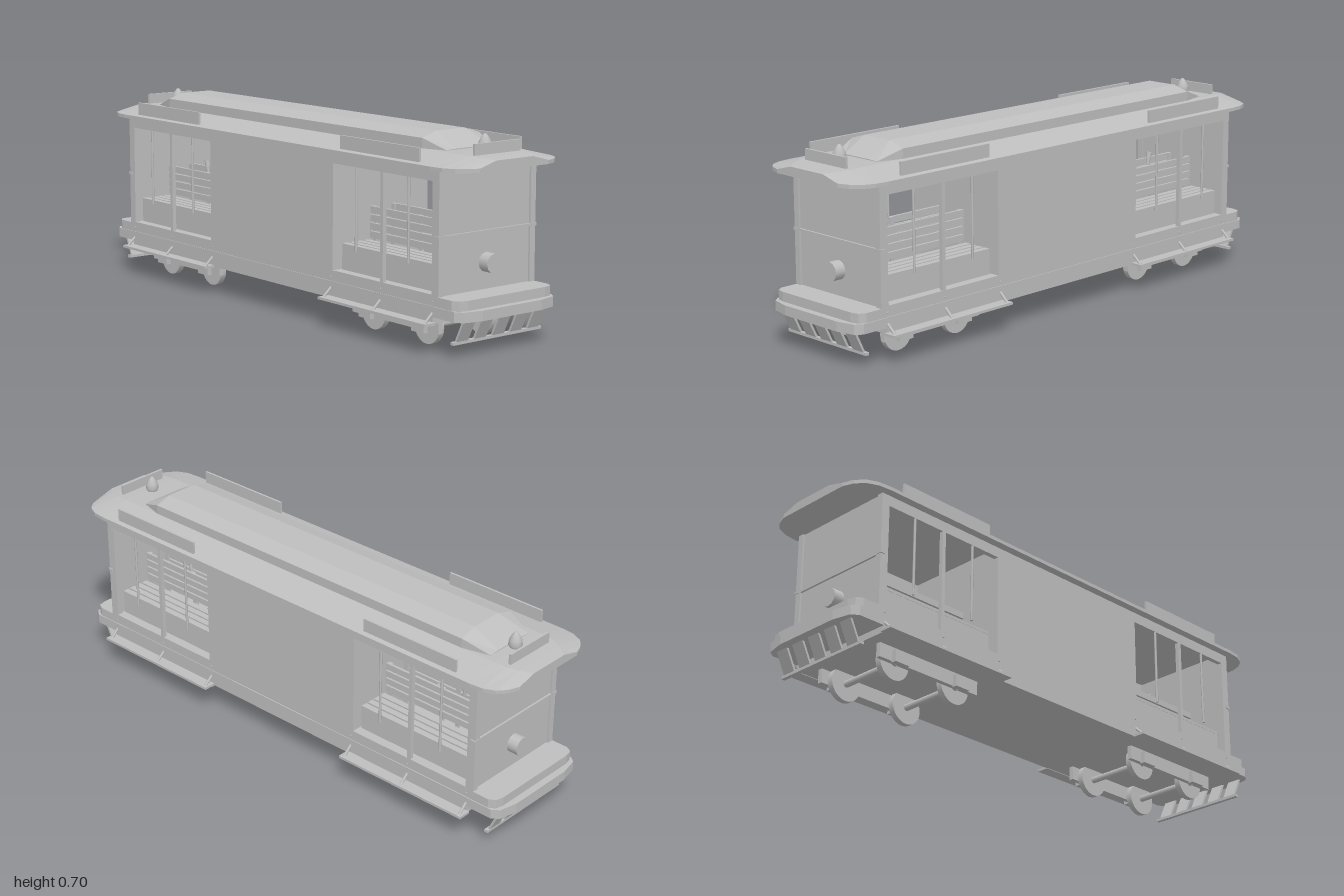
import * as THREE from 'three';

const paint = new THREE.MeshStandardMaterial({ color: 0xbebebe, side: THREE.DoubleSide });
paint.name = 'plain grey';

function add(parent, name, geometry, x = 0, y = 0, z = 0) {
  const mesh = new THREE.Mesh(geometry, paint);
  mesh.name = name;
  mesh.position.set(x, y, z);
  parent.add(mesh);
  return mesh;
}

// Box given by its limits on each axis
function box(parent, name, x0, x1, y0, y1, z0, z1) {
  return add(parent, name, new THREE.BoxGeometry(Math.abs(x1 - x0), y1 - y0, z1 - z0),
    (x0 + x1) / 2, (y0 + y1) / 2, (z0 + z1) / 2);
}

// Round bar between two points
function rod(parent, name, a, b, r) {
  const p = new THREE.Vector3(...a), q = new THREE.Vector3(...b), d = q.clone().sub(p);
  const mesh = add(parent, name, new THREE.CylinderGeometry(r, r, d.length(), 8));
  mesh.position.copy(p).add(q).multiplyScalar(0.5);
  mesh.quaternion.setFromUnitVectors(new THREE.Vector3(0, 1, 0), d.normalize());
  return mesh;
}

// Closed loft through mirrored sections [z, [[halfWidth, y], ...bottom to top]]
function loft(sections) {
  const rings = sections.map(([z, half]) => [
    ...half.map(([x, y]) => [x, y, z]),
    ...half.slice().reverse().map(([x, y]) => [-x, y, z]),
  ]);
  const pos = [];
  const n = rings[0].length;
  for (let s = 0; s < rings.length - 1; s++) {
    const a = rings[s], b = rings[s + 1];
    for (let i = 0; i < n; i++) {
      const j = (i + 1) % n;
      pos.push(...a[i], ...a[j], ...b[i], ...a[j], ...b[j], ...b[i]);
    }
  }
  const first = rings[0], last = rings[rings.length - 1];
  for (let i = 1; i < n - 1; i++) {
    pos.push(...last[0], ...last[i], ...last[i + 1], ...first[0], ...first[i + 1], ...first[i]);
  }
  const g = new THREE.BufferGeometry();
  g.setAttribute('position', new THREE.Float32BufferAttribute(pos, 3));
  g.computeVertexNormals();
  return g;
}

// Repeats a list of sections at both ends, from -z to +z
const bothEnds = (list) => [...list.map(([z, p]) => [-z, p]), ...list.slice().reverse()];

function buildRoof(car) {
  const eave = (w, topW, topY) => [[w, 0.598], [w, 0.611], [topW, topY]];
  add(car, 'mainRoof', loft(bothEnds([
    [1.0, eave(0.15, 0.08, 0.630)],
    [0.985, eave(0.19, 0.09, 0.632)],
    [0.96, eave(0.22, 0.105, 0.635)],
    [0.92, eave(0.238, 0.12, 0.638)],
    [0.87, eave(0.243, 0.125, 0.640)],
  ])));
  const nose = [[0.1, 0.635], [0.1, 0.641], [0.06, 0.643]];
  const full = [[0.125, 0.635], [0.125, 0.674], [0.062, 0.693]];
  add(car, 'raisedRoof', loft([[-0.84, nose], [-0.74, full], [0.70, full], [0.79, nose]]));
}

// Truck with two axles
function buildTruck(end) {
  const truck = new THREE.Group();
  truck.name = 'truck';
  end.add(truck);
  for (const z of [0.735, 0.467]) {
    rod(truck, 'axle', [-0.14, 0.06, z], [0.14, 0.06, z], 0.012);
    for (const s of [-1, 1]) {
      const wheel = add(truck, 'wheel', new THREE.CylinderGeometry(0.061, 0.061, 0.022, 24), s * 0.118, 0.061, z);
      wheel.rotation.z = Math.PI / 2;
      box(truck, 'axleBox', s * 0.15, s * 0.17, 0.045, 0.088, z - 0.03, z + 0.03);
    }
  }
  for (const s of [-1, 1]) box(truck, 'truckSide', s * 0.135, s * 0.152, 0.05, 0.1, 0.385, 0.818);
}

// Slatted benches, back to back, facing outward
function buildBenches(end) {
  for (const s of [-1, 1]) {
    box(end, 'benchFront', s * 0.165, s * 0.178, 0.195, 0.275, 0.36, 0.85);
    for (let i = 0; i < 4; i++) {
      const x = 0.062 + i * 0.031;
      box(end, 'seatSlat', s * x, s * (x + 0.024), 0.275, 0.285, 0.36, 0.85);
      const y = 0.29 + i * 0.029;
      box(end, 'backSlat', s * 0.045, s * 0.055, y, y + 0.023, 0.36, 0.85);
    }
    for (const z of [0.37, 0.604, 0.84]) {
      box(end, 'backSupport', s * 0.038, s * 0.045, 0.195, 0.4, z - 0.008, z + 0.008);
    }
  }
  rod(end, 'lever', [0, 0.195, 0.63], [0, 0.42, 0.67], 0.006);
  rod(end, 'leverGrip', [0, 0.41, 0.667], [0, 0.435, 0.672], 0.01);
  rod(end, 'shortLever', [0, 0.195, 0.58], [0, 0.37, 0.55], 0.006);
}

function buildEnd() {
  const end = new THREE.Group();
  end.name = 'carEnd';

  // End wall with belt rail and headlamp
  box(end, 'endWall', -0.195, 0.195, 0.19, 0.6, 0.855, 0.875);
  box(end, 'beltRail', -0.195, 0.195, 0.376, 0.385, 0.875, 0.882);
  const lamp = add(end, 'headlamp', new THREE.CylinderGeometry(0.033, 0.033, 0.04, 12), 0, 0.279, 0.895);
  lamp.rotation.x = Math.PI / 2;

  // Platform and bumper
  const slab = (w, y0, y1) => [[w, y0], [w, y1]];
  add(end, 'platform', loft([
    [0.85, slab(0.213, 0.123, 0.19)], [0.945, slab(0.213, 0.123, 0.19)],
    [0.968, slab(0.2, 0.123, 0.19)], [0.975, slab(0.17, 0.123, 0.19)],
  ]));
  add(end, 'bumper', loft([
    [0.86, slab(0.216, 0.123, 0.157)], [0.96, slab(0.216, 0.123, 0.157)],
    [0.985, slab(0.198, 0.123, 0.157)], [1.0, slab(0.13, 0.123, 0.157)],
  ]));

  // Slanted guard under the bumper
  for (let i = -2; i <= 2; i++) {
    const slat = box(end, 'guardSlat', i * 0.0785 - 0.0255, i * 0.0785 + 0.0255, 0.044, 0.13, 0.945, 0.953);
    slat.rotation.x = 0.45;
  }
  box(end, 'guardBar', -0.195, 0.195, 0.041, 0.051, 0.922, 0.936);

  // Roof fittings
  box(end, 'endRoofBoard', -0.1, 0.1, 0.63, 0.675, 0.913, 0.922);
  const bell = [[0.018, 0], [0.024, 0.012], [0.021, 0.03], [0.013, 0.045], [0.006, 0.055], [0, 0.058]];
  add(end, 'bell', new THREE.LatheGeometry(bell.map(([x, y]) => new THREE.Vector2(x, y)), 16), 0, 0.638, 0.862);

  for (const s of [-1, 1]) {
    box(end, 'sideRoofBoard', s * 0.218, s * 0.226, 0.612, 0.661, 0.405, 0.8);
    // Open side: posts, header and grab poles
    box(end, 'cornerPost', s * 0.19, s * 0.213, 0.19, 0.6, 0.85, 0.882);
    box(end, 'middlePost', s * 0.198, s * 0.213, 0.19, 0.6, 0.597, 0.611);
    box(end, 'header', s * 0.195, s * 0.213, 0.56, 0.6, 0.35, 0.86);
    box(end, 'beltEnd', s * 0.195, s * 0.217, 0.376, 0.386, 0.865, 0.884);
    for (const z of [0.733, 0.47]) rod(end, 'grabPole', [s * 0.209, 0.278, z], [s * 0.209, 0.56, z], 0.0045);

    // Running board with its braces
    box(end, 'runningBoard', s * 0.213, s * 0.26, 0.098, 0.107, 0.33, 0.87);
    for (const z of [0.855, 0.6, 0.343]) {
      rod(end, 'boardBrace', [s * 0.21, 0.138, z], [s * 0.247, 0.104, z], 0.005);
      rod(end, 'braceBolt', [s * 0.21, 0.172, z], [s * 0.216, 0.172, z], 0.004);
    }
  }
  buildBenches(end);
  buildTruck(end);
  return end;
}

export function createModel() {
  const car = new THREE.Group();
  car.name = 'streetcar';

  // Closed middle cabin, floor and side sills
  box(car, 'cabin', -0.213, 0.213, 0.19, 0.6, -0.352, 0.352);
  box(car, 'floor', -0.213, 0.213, 0.1, 0.195, -0.86, 0.86);
  for (const s of [-1, 1]) box(car, 'sideSill', s * 0.212, s * 0.216, 0.1, 0.158, -0.86, 0.86);

  buildRoof(car);

  // Both ends are alike
  for (const turn of [0, Math.PI]) {
    const end = buildEnd();
    end.rotation.y = turn;
    car.add(end);
  }
  return car;
}
